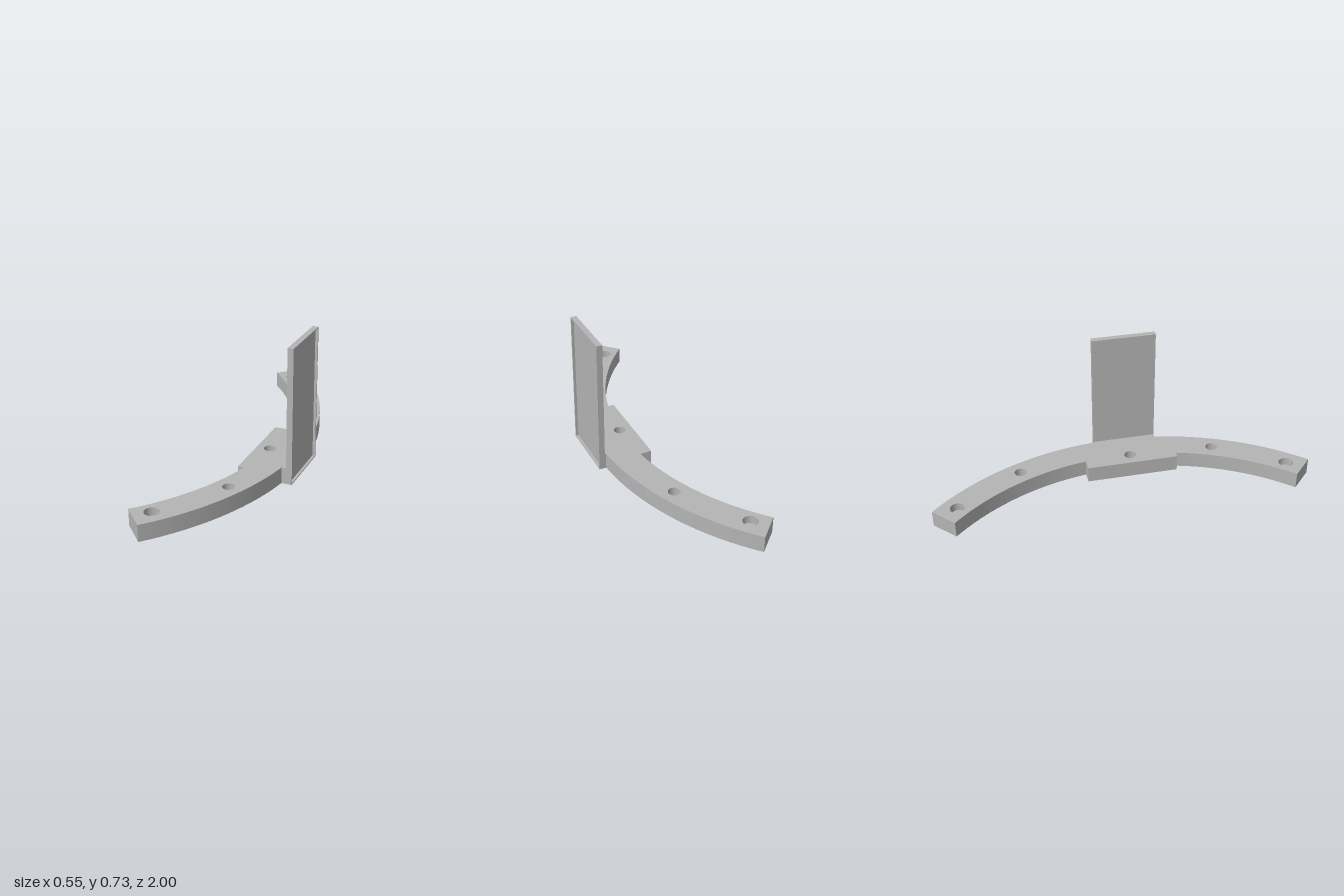
import * as THREE from 'three';

const R_OUT = 1.437, R_IN = 1.285, CX = -1.197, HALF = THREE.MathUtils.degToRad(44.1);
const BASE_H = 0.088, STEP = 0.045;
const PLATE_X = 0.243, PLATE_T = 0.031, PLATE_H = 0.725, PLATE_W = 0.34, PLATE_Z = 0.075;
const RECESS = 0.014, RIM = 0.006;

// Curved bar outline with the inner pad and the outer foot (shape y is -z)
function barShape(holes) {
  const s = new THREE.Shape();
  const out = (y) => Math.asin(y / R_OUT);
  const inn = (y) => Math.asin(y / R_IN);
  const z0 = PLATE_Z - PLATE_W / 2, z1 = PLATE_Z + PLATE_W / 2;
  s.absarc(CX, 0, R_OUT, -HALF, out(-z1), false);
  s.lineTo(PLATE_X, -z1);
  s.lineTo(PLATE_X, -z0);
  s.absarc(CX, 0, R_OUT, out(-z0), HALF, false);
  s.absarc(CX, 0, R_IN, HALF, inn(0.17), true);
  s.lineTo(0.015, 0.17);
  s.lineTo(0.015, -0.32);
  s.absarc(CX, 0, R_IN, inn(-0.32), -HALF, true);
  s.closePath();
  for (const [x, z, r] of holes) {
    const h = new THREE.Path();
    h.absarc(x, -z, r, 0, Math.PI * 2, true);
    s.holes.push(h);
  }
  return s;
}

export function createModel() {
  const group = new THREE.Group();
  const grey = new THREE.MeshStandardMaterial({ color: 0xb4b4b4 });
  grey.name = 'grey';

  const add = (name, geometry) => {
    const mesh = new THREE.Mesh(geometry, grey);
    mesh.name = name;
    group.add(mesh);
    return mesh;
  };
  const slab = (name, holes, y, depth) => {
    const g = new THREE.ExtrudeGeometry(barShape(holes), { depth, bevelEnabled: false, curveSegments: 32 });
    g.rotateX(-Math.PI / 2);
    add(name, g).position.y = y;
  };

  // Lower layer has the wide counterbore, upper layer the blind end holes
  const through = [[0.06, -0.525, 0.031], [0.06, 0.525, 0.031]];
  const ends = [[-0.163, -0.873, 0.038], [-0.163, 0.873, 0.038]];
  slab('curvedBarLower', [...through, [0.085, PLATE_Z, 0.055]], 0, STEP);
  slab('curvedBarUpper', [...through, ...ends, [0.085, PLATE_Z, 0.031]], STEP, BASE_H - STEP);

  // Upright plate
  const back = PLATE_T - RECESS;
  add('uprightPlate', new THREE.BoxGeometry(back, PLATE_H, PLATE_W))
    .position.set(PLATE_X + back / 2, PLATE_H / 2, PLATE_Z);

  // Thin rim around the shallow recess on the outer face
  const rect = (path, w, y0, y1) => {
    path.moveTo(-w, y0);
    path.lineTo(w, y0);
    path.lineTo(w, y1);
    path.lineTo(-w, y1);
    path.closePath();
    return path;
  };
  const rim = rect(new THREE.Shape(), PLATE_W / 2, 0, PLATE_H);
  rim.holes.push(rect(new THREE.Path(), PLATE_W / 2 - RIM, RIM, PLATE_H - RIM));
  const rimGeometry = new THREE.ExtrudeGeometry(rim, { depth: RECESS, bevelEnabled: false });
  rimGeometry.rotateY(Math.PI / 2);
  add('plateRim', rimGeometry).position.set(PLATE_X + back, 0, PLATE_Z);

  return group;
}
